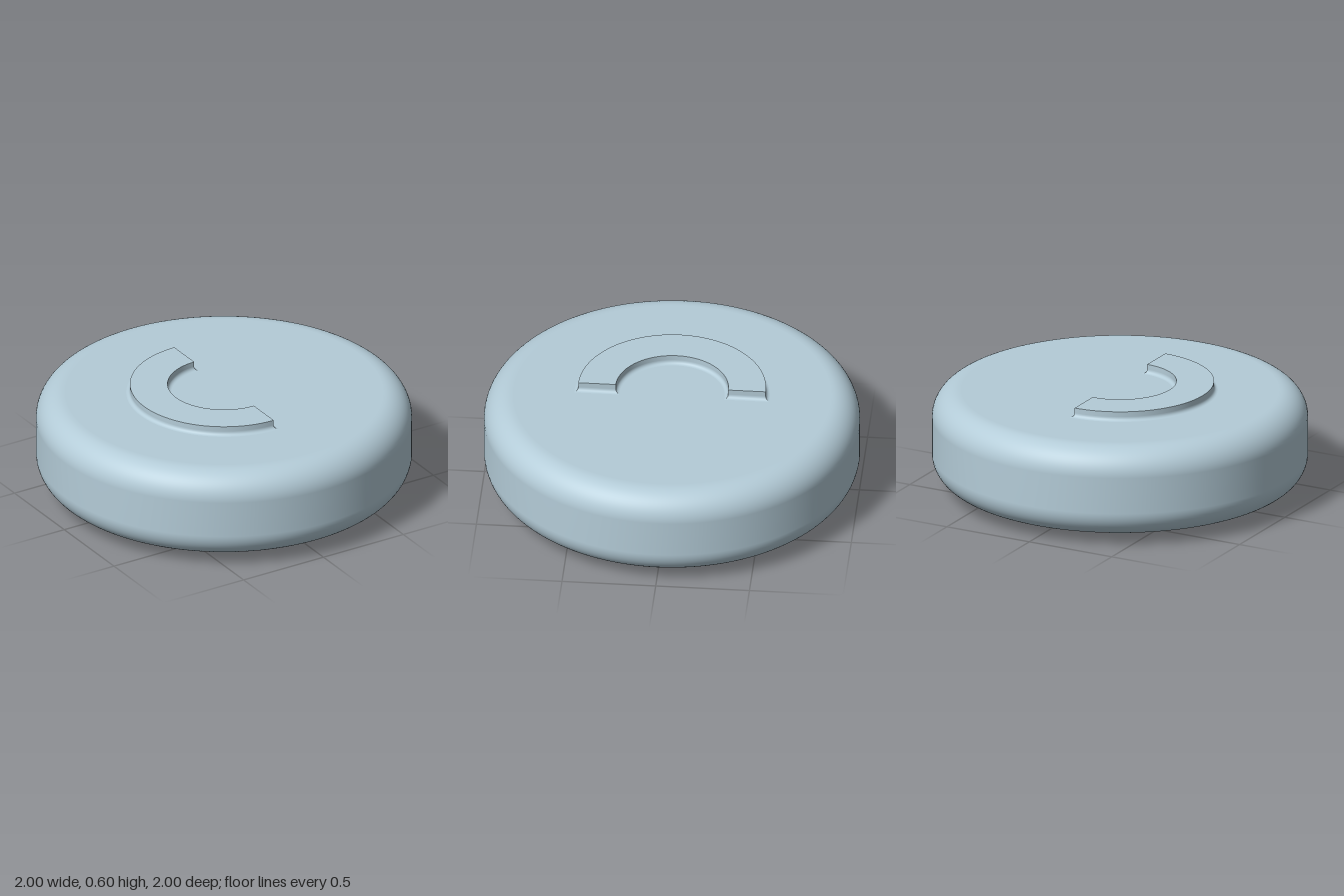
import * as THREE from 'three';

const material = new THREE.MeshStandardMaterial({ color: 0xb4ccd8, side: THREE.DoubleSide });
const HALF = 0.25, RIB = 0.05, FILLET = 0.02;

// Smooth surface through rows of [x, y, z] points
function surface(rows) {
  const n = rows[0].length, index = [];
  for (let k = 0; k < rows.length - 1; k++) {
    for (let j = 0; j < n - 1; j++) {
      const a = k * n + j, c = a + n;
      index.push(a, a + 1, c, a + 1, c + 1, c);
    }
  }
  const g = new THREE.BufferGeometry();
  g.setAttribute('position', new THREE.Float32BufferAttribute(rows.flat(2), 3));
  g.setIndex(index);
  g.computeVertexNormals();
  return g;
}

// Half circle on the -x side, running from -z to +z and ending on x = end
function halfArc(radius, end, y, segments = 64) {
  const a = Math.acos(end / radius);
  return Array.from({ length: segments + 1 }, (_, i) => {
    const t = -a - (2 * Math.PI - 2 * a) * i / segments;
    return [radius * Math.cos(t), y, radius * Math.sin(t)];
  });
}

// Raised half ring with a concave fillet along its foot
function createRib() {
  const levels = [];
  for (let i = 0; i <= 6; i++) {
    const t = i / 6 * Math.PI / 2;
    levels.push([FILLET * (1 - Math.sin(t)), HALF + FILLET * (1 - Math.cos(t))]);
  }
  levels.push([0, HALF + FILLET + 0.002], [0, HALF + RIB]);

  const outer = levels.map(([o, y]) => halfArc(0.5 + o, o, y));
  const inner = levels.map(([o, y]) => halfArc(0.3 - o, o, y));
  const top = levels.length - 1;
  const parts = {
    outerWall: outer,
    innerWall: inner.map(row => [...row].reverse()),
    frontEnd: outer.map((row, k) => [row.at(-1), inner[k].at(-1)]),
    backEnd: outer.map((row, k) => [inner[k][0], row[0]]),
    face: [outer[top], inner[top]],
  };
  const rib = new THREE.Group();
  for (const [name, rows] of Object.entries(parts)) {
    const mesh = new THREE.Mesh(surface(rows), material);
    mesh.name = name;
    rib.add(mesh);
  }
  return rib;
}

// Round disc with generously rounded rims
function createDisc() {
  const r = 0.15, pts = [new THREE.Vector2(0, -HALF), new THREE.Vector2(0.845, -HALF)];
  for (const side of [-1, 1]) {
    for (let i = 0; i <= 16; i++) {
      const t = (side < 0 ? i - 16 : i) / 16 * Math.PI / 2;
      pts.push(new THREE.Vector2(1 - r + r * Math.cos(t), side * (HALF - r) + r * Math.sin(t)));
    }
  }
  pts.push(new THREE.Vector2(0.845, HALF), new THREE.Vector2(0, HALF));
  const disc = new THREE.Mesh(new THREE.LatheGeometry(pts, 128), material);
  disc.name = 'disc';
  return disc;
}

export function createModel() {
  const model = new THREE.Group();
  model.name = 'roundedDisc';
  const topRib = createRib();
  topRib.name = 'topRib';
  const bottomRib = createRib();
  bottomRib.name = 'bottomRib';
  bottomRib.rotation.x = Math.PI;
  model.add(createDisc(), topRib, bottomRib);
  model.position.y = HALF + RIB;
  return model;
}
